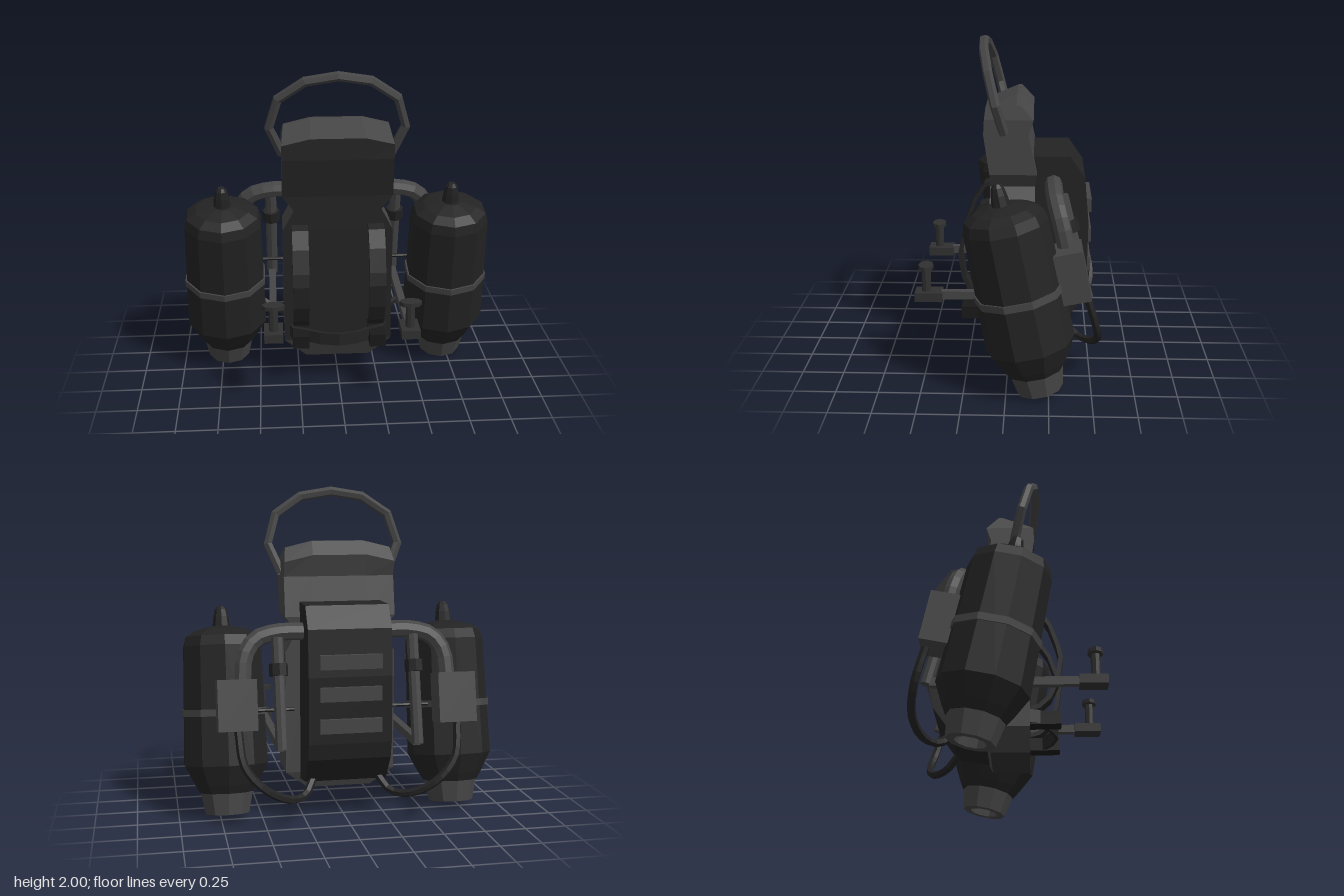
import * as THREE from 'three';

const mat = (name, color) => {
  const m = new THREE.MeshStandardMaterial({ color, flatShading: true, side: THREE.DoubleSide });
  m.name = name;
  return m;
};
const V = (x, y, z) => new THREE.Vector3(x, y, z);

export function createModel() {
  const root = new THREE.Group();
  root.name = 'jetpack';
  const dark = mat('charcoal', 0x232323);
  const metal = mat('grey metal', 0x454545);
  const mid = mat('dark grey', 0x303030);
  const black = mat('black', 0x191919);

  const add = (name, geo, m, parent = root, pos = [0, 0, 0]) => {
    const mesh = new THREE.Mesh(geo, m);
    mesh.name = name;
    mesh.position.set(...pos);
    parent.add(mesh);
    return mesh;
  };
  const box = (w, h, d) => new THREE.BoxGeometry(w, h, d);
  const lathe = (pts, n = 10) => new THREE.LatheGeometry(pts.map(p => new THREE.Vector2(...p)), n);
  const tube = (pts, r, seg, sides = 6) =>
    new THREE.TubeGeometry(new THREE.CatmullRomCurve3(pts), seg, r, sides);
  // Straight capped rod between two points
  const rod = (name, a, b, r, m, n = 8) => {
    const d = b.clone().sub(a);
    const mesh = add(name, new THREE.CylinderGeometry(r, r, d.length(), n), m);
    mesh.position.copy(a).addScaledVector(d, 0.5);
    mesh.quaternion.setFromUnitVectors(V(0, 1, 0), d.normalize());
    return mesh;
  };
  // Side outline given as [z, y], extruded across x
  const sideExtrude = (pts, width) => {
    const shape = new THREE.Shape(pts.map(([z, y]) => new THREE.Vector2(-z, y)));
    return new THREE.ExtrudeGeometry(shape, { depth: width, bevelEnabled: false })
      .translate(0, 0, -width / 2).rotateY(Math.PI / 2);
  };

  // Frame: stacked sections [y, half width, back z, front z, drop at the sides]
  const rows = [
    [0.14, 0.2, -0.12, 0.11, 0], [0.25, 0.34, -0.16, 0.11, 0], [1.0, 0.34, -0.16, 0.11, 0],
    [1.13, 0.27, -0.16, 0.11, 0], [1.22, 0.34, -0.17, 0.11, 0], [1.46, 0.34, -0.12, 0.145, 0],
    [1.59, 0.34, -0.15, 0.14, 0.04], [1.672, 0.325, -0.075, -0.05, 0.04],
  ];
  const rings = rows.map(([y, w, b, f, drop]) => {
    const edge = [[-w, y - drop], [-w * 0.49, y], [w * 0.49, y], [w, y - drop]];
    return [...edge.map(([x, h]) => V(x, h, f)), ...edge.reverse().map(([x, h]) => V(x, h, b))];
  });
  const verts = [];
  const frameGeo = new THREE.BufferGeometry();
  const quad = (a, b, c, d, m) => {
    frameGeo.addGroup(verts.length / 3, 6, m);
    for (const p of [a, b, c, a, c, d]) verts.push(p.x, p.y, p.z);
  };
  for (let i = 0; i < rings.length - 1; i++) {
    for (let k = 0; k < 8; k++) {
      const n = (k + 1) % 8;
      const m = k < 3 && i < 6 ? (i === 0 ? 2 : 1) : 0; // padding on the front
      quad(rings[i][k], rings[i][n], rings[i + 1][n], rings[i + 1][k], m);
    }
  }
  const bottom = rings[0];
  const top = rings[rings.length - 1];
  for (let k = 0; k < 3; k++) {
    quad(bottom[7 - k], bottom[6 - k], bottom[k + 1], bottom[k], 2);
    quad(top[k], top[k + 1], top[6 - k], top[7 - k], 0);
  }
  frameGeo.setAttribute('position', new THREE.Float32BufferAttribute(verts, 3));
  frameGeo.computeVertexNormals();
  add('frame', frameGeo, [metal, dark, mid]);

  // Engine pack on the back with three vents
  add('enginePack', sideExtrude([
    [-0.1, 1.31], [-0.37, 1.31], [-0.46, 1.18], [-0.485, 0.9], [-0.48, 0.5],
    [-0.455, 0.4], [-0.34, 0.24], [-0.1, 0.2],
  ], 0.5), dark);
  for (const y of [0.99, 0.8, 0.61]) add('vent', box(0.37, 0.085, 0.05), metal, root, [0, y, -0.48]);

  // Carrying handle above the head rest
  const half = [[0.335, 1.47, 0.025], [0.412, 1.66, 0.075], [0.36, 1.825, 0.115], [0.205, 1.935, 0.145]];
  add('handle', tube([...half.map(([x, y, z]) => V(-x, y, z)), V(0, 1.97, 0.155),
    ...half.slice().reverse().map(p => V(...p))], 0.03, 8), metal);

  // Waist belt
  const belt = [[-0.31, 0.1], [-0.29, 0.17], [-0.19, 0.21], [-0.12, 0.25], [0, 0.278],
    [0.12, 0.25], [0.19, 0.21], [0.29, 0.17], [0.31, 0.1]];
  const beltShape = new THREE.Shape([...belt, ...belt.slice().reverse().map(([x, z]) => [x * 0.93, z - 0.02])]
    .map(p => new THREE.Vector2(...p)));
  add('belt', new THREE.ExtrudeGeometry(beltShape, { depth: 0.08, bevelEnabled: false })
    .rotateX(Math.PI / 2), dark, root, [0, 0.365, 0]);

  const tilt = 0.2;
  const strapOuter = [[0.1, 1.04], [0.17, 1.02], [0.24, 0.92], [0.29, 0.78], [0.308, 0.7],
    [0.285, 0.55], [0.235, 0.44], [0.17, 0.38], [0.1, 0.36]];
  const strapInner = strapOuter.map(([z, y]) => [0.1 + (z - 0.1) * 0.87, 0.7 + (y - 0.7) * 0.92]).reverse();

  for (const s of [1, -1]) {
    // Shoulder strap and its anchor by the belt
    add('strap', sideExtrude([...strapOuter, ...strapInner], 0.1), dark, root, [s * 0.235, 0, 0]);
    add('strapAnchor', box(0.1, 0.08, 0.18), black, root, [s * 0.24, 0.32, 0.2]);

    // Fuel tank, leaning forward
    const tank = new THREE.Group();
    tank.name = 'tank';
    tank.position.set(s * 0.71, 0.03, -0.2);
    tank.rotation.x = tilt;
    root.add(tank);
    add('tankBody', lathe([[0, 0.13], [0.17, 0.13], [0.2, 0.18], [0.262, 0.3], [0.245, 1.02],
      [0.228, 1.08], [0.17, 1.115], [0.07, 1.14], [0, 1.14]]), dark, tank);
    add('tankTip', lathe([[0.056, 1.12], [0.046, 1.2], [0.036, 1.245], [0.02, 1.265], [0, 1.265]], 8), dark, tank);
    add('tankBand', lathe([[0.25, 0.595], [0.264, 0.595], [0.264, 0.637], [0.25, 0.637]]), metal, tank);
    add('nozzle', lathe([[0.085, 0.1], [0.09, 0], [0.137, 0], [0.163, 0.13], [0, 0.14]]), metal, tank);
    add('nozzleCore', lathe([[0, 0.06], [0.088, 0.06]]), black, tank);

    // Pump box behind the tank, fed by a pipe from the pack
    const pump = add('pumpBox', box(0.23, 0.3, 0.17), metal, root, [s * 0.66, 0.735, -0.377]);
    pump.rotation.x = tilt;
    add('pipe', tube([V(s * 0.2, 1.145, -0.27), V(s * 0.4, 1.145, -0.273), V(s * 0.53, 1.11, -0.283),
      V(s * 0.6, 1.02, -0.31), V(s * 0.62, 0.85, -0.35)], 0.053, 10, 8), metal);

    // Hose from the pump box to the underside of the pack
    add('hose', tube([V(s * 0.66, 0.61, -0.46), V(s * 0.63, 0.4, -0.52), V(s * 0.51, 0.26, -0.54),
      V(s * 0.36, 0.18, -0.49), V(s * 0.26, 0.18, -0.41), V(s * 0.2, 0.26, -0.33)], 0.025, 16), dark);

    // Upright strut with collar, and the thin brace to the tank
    rod('strut', V(s * 0.41, 1.12, -0.32), V(s * 0.41, 0.48, -0.48), 0.036, metal);
    rod('strutCollar', V(s * 0.41, 0.97, -0.357), V(s * 0.41, 0.9, -0.375), 0.056, dark);
    rod('brace', V(s * 0.3, 0.67, -0.25), V(s * 0.6, 0.67, -0.25), 0.011, dark, 6);

    // Control arm with a stick and flattened grip at its end
    add('controlArm', box(0.045, 0.05, 0.86), metal, root, [s * 0.41, 0.49, -0.03]);
    add('controlPad', box(0.113, 0.055, 0.165), mid, root, [s * 0.41, 0.487, 0.475]);
    rod('stick', V(s * 0.41, 0.5, 0.49), V(s * 0.41, 0.66, 0.49), 0.028, mid);
    const cap = rod('stickCap', V(s * 0.41, 0.655, 0.49), V(s * 0.41, 0.68, 0.49), 0.045, mid);
    cap.scale.x = 1.5;
  }
  return root;
}
